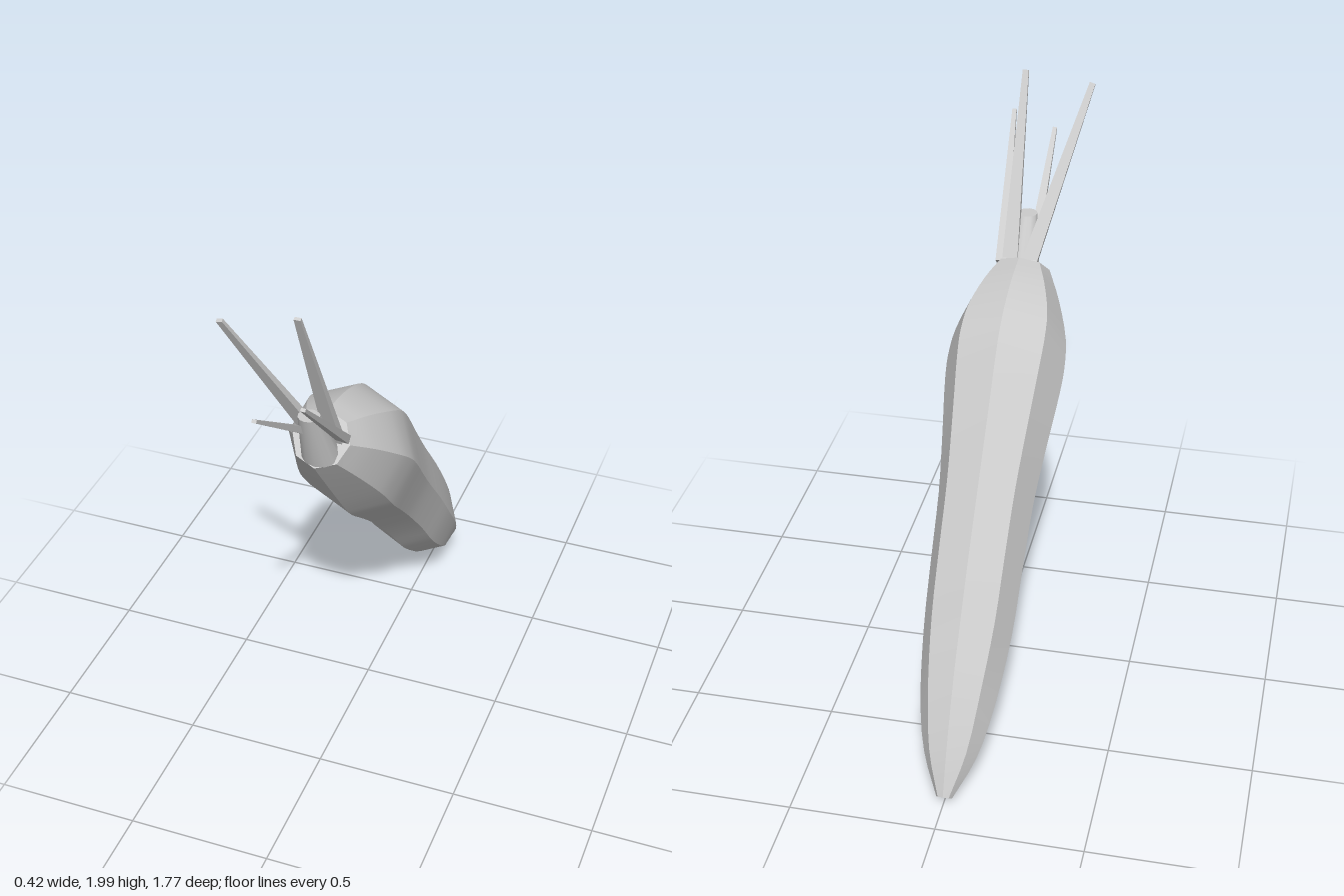
import * as THREE from 'three';

const grey = new THREE.MeshStandardMaterial({ color: 0xcccccc });
grey.name = 'plain grey';

// Body rings: upper edge (z, y), lower edge (z, y), half width
const RINGS = [
  [-0.885, 0.045, -0.845, 0.01, 0.027],
  [-0.82, 0.2, -0.72, 0.065, 0.09],
  [-0.7, 0.42, -0.6, 0.13, 0.13],
  [-0.58, 0.59, -0.4, 0.3, 0.153],
  [-0.45, 0.76, -0.25, 0.47, 0.16],
  [-0.3, 0.94, -0.08, 0.65, 0.167],
  [-0.15, 1.12, 0.05, 0.77, 0.185],
  [0, 1.3, 0.17, 0.875, 0.205],
  [0.06, 1.35, 0.23, 0.945, 0.208],
  [0.15, 1.395, 0.3, 1.035, 0.197],
  [0.27, 1.43, 0.41, 1.18, 0.15],
  [0.37, 1.443, 0.5, 1.3, 0.098],
];
const SIDES = 8, STEPS = 33;

function addMesh(group, geometry, name) {
  const mesh = new THREE.Mesh(geometry, grey);
  mesh.name = name;
  group.add(mesh);
  return mesh;
}

// Eight long strips, smooth along the length and sharp at the ridges
function bodyGeometry() {
  const upper = new THREE.CatmullRomCurve3(RINGS.map(r => new THREE.Vector3(r[4], r[1], r[0])));
  const lower = new THREE.CatmullRomCurve3(RINGS.map(r => new THREE.Vector3(r[4], r[3], r[2])));
  const corner = (t, k) => {
    const a = (k / SIDES) * Math.PI * 2;
    const u = upper.getPoint(t), l = lower.getPoint(t);
    const p = l.clone().lerp(u, 0.5 + 0.5 * Math.cos(a));
    p.x = u.x * Math.sin(a);
    return p;
  };
  const pos = [], index = [];
  for (let k = 0; k < SIDES; k++) {
    const base = pos.length / 3;
    for (let i = 0; i <= STEPS; i++) {
      pos.push(...corner(i / STEPS, k).toArray(), ...corner(i / STEPS, k + 1).toArray());
      if (i === STEPS) continue;
      const a = base + i * 2;
      index.push(a, a + 2, a + 1, a + 1, a + 2, a + 3);
    }
  }
  // End caps
  for (const t of [0, 1]) {
    const base = pos.length / 3;
    for (let k = 0; k < SIDES; k++) pos.push(...corner(t, k).toArray());
    for (let k = 1; k < SIDES - 1; k++) {
      if (t) index.push(base, base + k + 1, base + k);
      else index.push(base, base + k, base + k + 1);
    }
  }
  const g = new THREE.BufferGeometry();
  g.setAttribute('position', new THREE.Float32BufferAttribute(pos, 3));
  g.setIndex(index);
  g.computeVertexNormals();
  return g;
}

// Thin four-sided stalk tapering from base to tip
function stalk(group, from, to, width) {
  const a = new THREE.Vector3(...from), b = new THREE.Vector3(...to);
  const g = new THREE.BoxGeometry(width, a.distanceTo(b), 0.028).toNonIndexed();
  const p = g.attributes.position;
  for (let i = 0; i < p.count; i++) {
    if (p.getY(i) > 0) p.setXYZ(i, p.getX(i) * 0.38, p.getY(i), p.getZ(i) * 0.38);
  }
  g.computeVertexNormals();
  const mesh = addMesh(group, g, 'leafStalk');
  mesh.position.copy(a).lerp(b, 0.5);
  mesh.quaternion.setFromUnitVectors(new THREE.Vector3(0, 1, 0), b.clone().sub(a).normalize());
}

export function createModel() {
  const model = new THREE.Group();
  model.name = 'rootVegetable';
  addMesh(model, bodyGeometry(), 'body');

  // Short leaning stem with level ends
  const stem = new THREE.CylinderGeometry(0.036, 0.065, 0.22, 12);
  stem.applyMatrix4(new THREE.Matrix4().makeShear(0, 0, 0, 0.46, 0, 0));
  stem.translate(0.005, 1.425, 0.495);
  addMesh(model, stem, 'stem');

  const stalks = new THREE.Group();
  stalks.name = 'leafStalks';
  stalk(stalks, [-0.02, 1.38, 0.43], [-0.185, 1.96, 0.75], 0.055);
  stalk(stalks, [-0.03, 1.39, 0.43], [-0.03, 1.725, 0.88], 0.04);
  stalk(stalks, [0.045, 1.38, 0.43], [0.05, 2.0, 0.725], 0.056);
  stalk(stalks, [0.075, 1.39, 0.43], [0.118, 1.79, 0.865], 0.04);
  model.add(stalks);
  return model;
}
